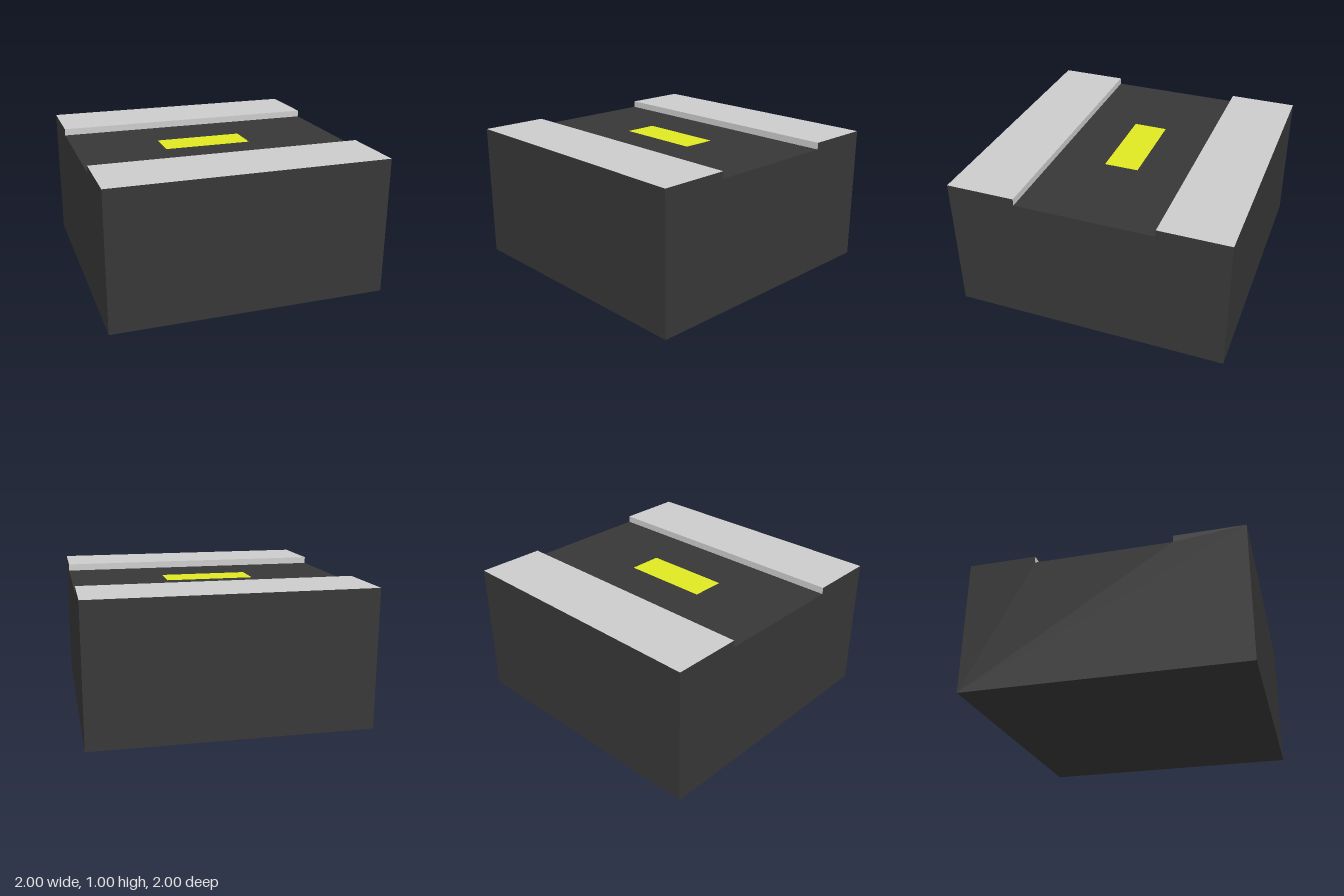
import * as THREE from 'three';
import { mergeGeometries } from 'three/addons/utils/BufferGeometryUtils.js';

const HALF = 1, CURB = 0.5, TOP = 1, ROAD = 0.95;

// Flat panels along x that follow a path of [z, y] points
function strip(path, x0 = -HALF, x1 = HALF) {
  const panels = [];
  for (let i = 0; i < path.length - 1; i++) {
    const [z0, y0] = path[i], [z1, y1] = path[i + 1];
    const panel = new THREE.PlaneGeometry(x1 - x0, Math.hypot(z1 - z0, y1 - y0));
    panel.rotateX(Math.atan2(z1 - z0, y1 - y0));
    panel.translate((x0 + x1) / 2, (y0 + y1) / 2, (z0 + z1) / 2);
    panels.push(panel);
  }
  return mergeGeometries(panels);
}

export function createModel() {
  const group = new THREE.Group();
  const asphalt = new THREE.MeshStandardMaterial({ color: 0x373737 });
  const concrete = new THREE.MeshStandardMaterial({ color: 0xcccccc });
  const paint = new THREE.MeshStandardMaterial({ color: 0xdfe822 });

  const add = (name, geometry, material) => {
    const mesh = new THREE.Mesh(geometry, material);
    mesh.name = name;
    group.add(mesh);
  };

  // Outer walls and underside of the block
  add('blockWalls', strip([[-HALF, TOP], [-HALF, 0], [HALF, 0], [HALF, TOP]]), asphalt);

  // End faces showing the sunken road between the raised curbs
  const outline = new THREE.Shape([
    [-HALF, 0], [HALF, 0], [HALF, TOP], [CURB, TOP],
    [CURB, ROAD], [-CURB, ROAD], [-CURB, TOP], [-HALF, TOP],
  ].map(([x, y]) => new THREE.Vector2(x, y)));
  for (const side of [1, -1]) {
    const end = new THREE.ShapeGeometry(outline);
    end.translate(0, 0, HALF).rotateY(side * Math.PI / 2);
    add(side > 0 ? 'leftEnd' : 'rightEnd', end, asphalt);
  }

  // Road surface and its centre line dash
  add('road', strip([[CURB, ROAD], [-CURB, ROAD]]), asphalt);
  add('centreDash', strip([[0.125, ROAD + 0.001], [-0.125, ROAD + 0.001]], -0.35, 0.3), paint);

  // Pavements, each with a curb step down to the road
  add('frontPavement', strip([[HALF, TOP], [CURB, TOP], [CURB, ROAD]]), concrete);
  add('backPavement', strip([[-CURB, ROAD], [-CURB, TOP], [-HALF, TOP]]), concrete);

  return group;
}
